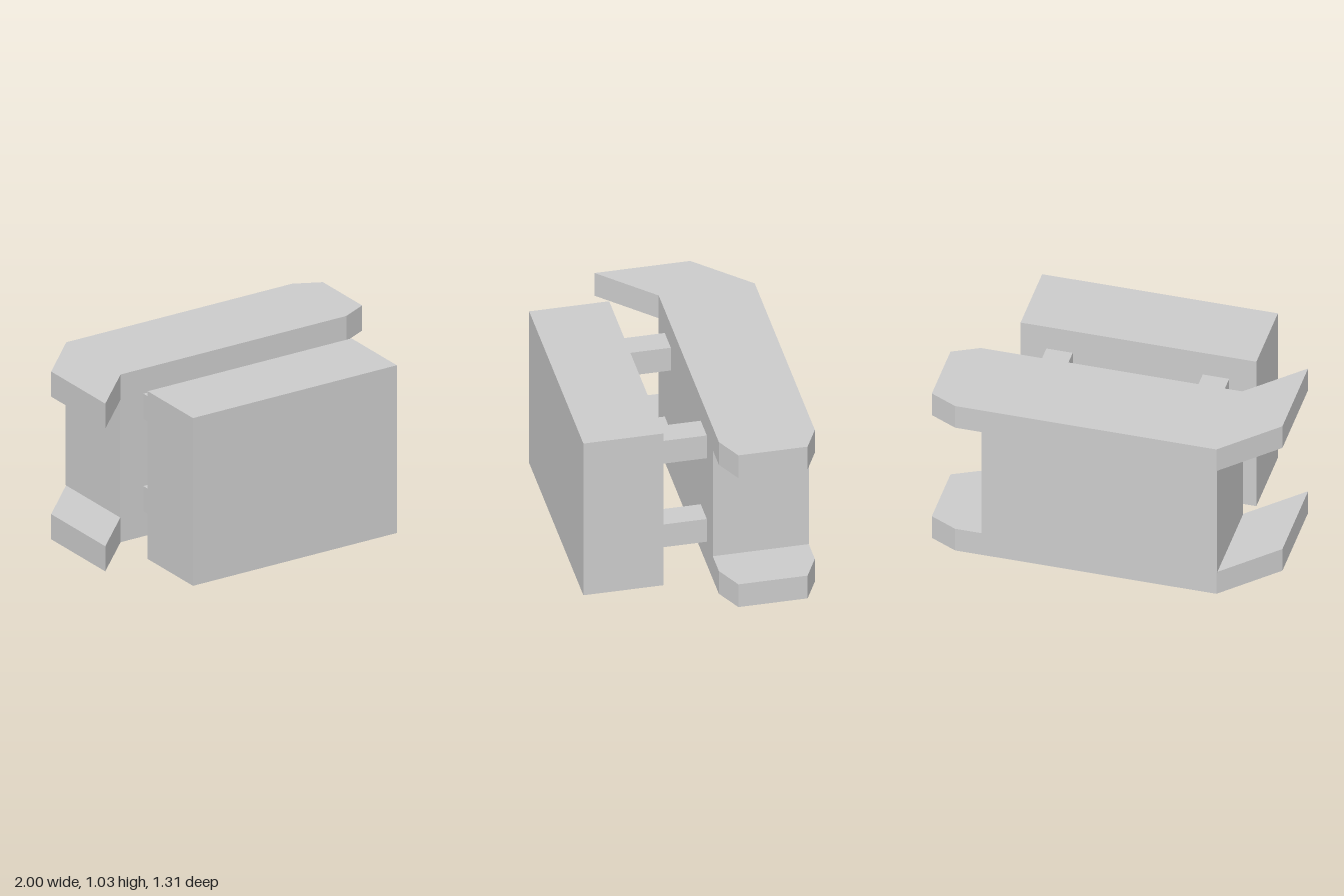
import * as THREE from 'three';

const material = new THREE.MeshStandardMaterial({ color: 0xcccccc, flatShading: true });

// Box given by its lower and upper corners
function addBox(parent, name, [x0, y0, z0], [x1, y1, z1]) {
  const mesh = new THREE.Mesh(new THREE.BoxGeometry(x1 - x0, y1 - y0, z1 - z0), material);
  mesh.position.set((x0 + x1) / 2, (y0 + y1) / 2, (z0 + z1) / 2);
  mesh.name = name;
  parent.add(mesh);
}

export function createModel() {
  const model = new THREE.Group();
  model.name = 'bracketAssembly';
  const height = 1.035, flange = 0.155, peg = 0.155;
  const left = -0.7, right = 0.687;

  // Solid front block and the rear web between the flanges
  addBox(model, 'frontBlock', [left, 0, 0.19], [right, height, 0.656]);
  addBox(model, 'rearWeb', [left, flange, -0.656], [right, height - flange, -0.097]);

  // Flange plan in x and z: bent arm on one end, chamfered tab on the other
  const plan = new THREE.Shape([
    [-1, -0.35], [-0.695, -0.656], [0.842, -0.656], [1, -0.578],
    [1, -0.175], [0.842, -0.097], [-0.695, -0.097], [-1, 0.207],
  ].map(([x, z]) => new THREE.Vector2(x, z)));
  const flangeGeometry = new THREE.ExtrudeGeometry(plan, { depth: flange, bevelEnabled: false });
  flangeGeometry.rotateX(Math.PI / 2);
  for (const [name, top] of [['bottomFlange', flange], ['topFlange', height]]) {
    const mesh = new THREE.Mesh(flangeGeometry, material);
    mesh.position.y = top;
    mesh.name = name;
    model.add(mesh);
  }

  // Four pegs joining the front block to the web
  for (const x of [-0.54, 0.38]) {
    for (const y of [flange, height - flange - peg]) {
      addBox(model, 'connectingPeg', [x, y, -0.097], [x + peg, y + peg, 0.19]);
    }
  }
  return model;
}
